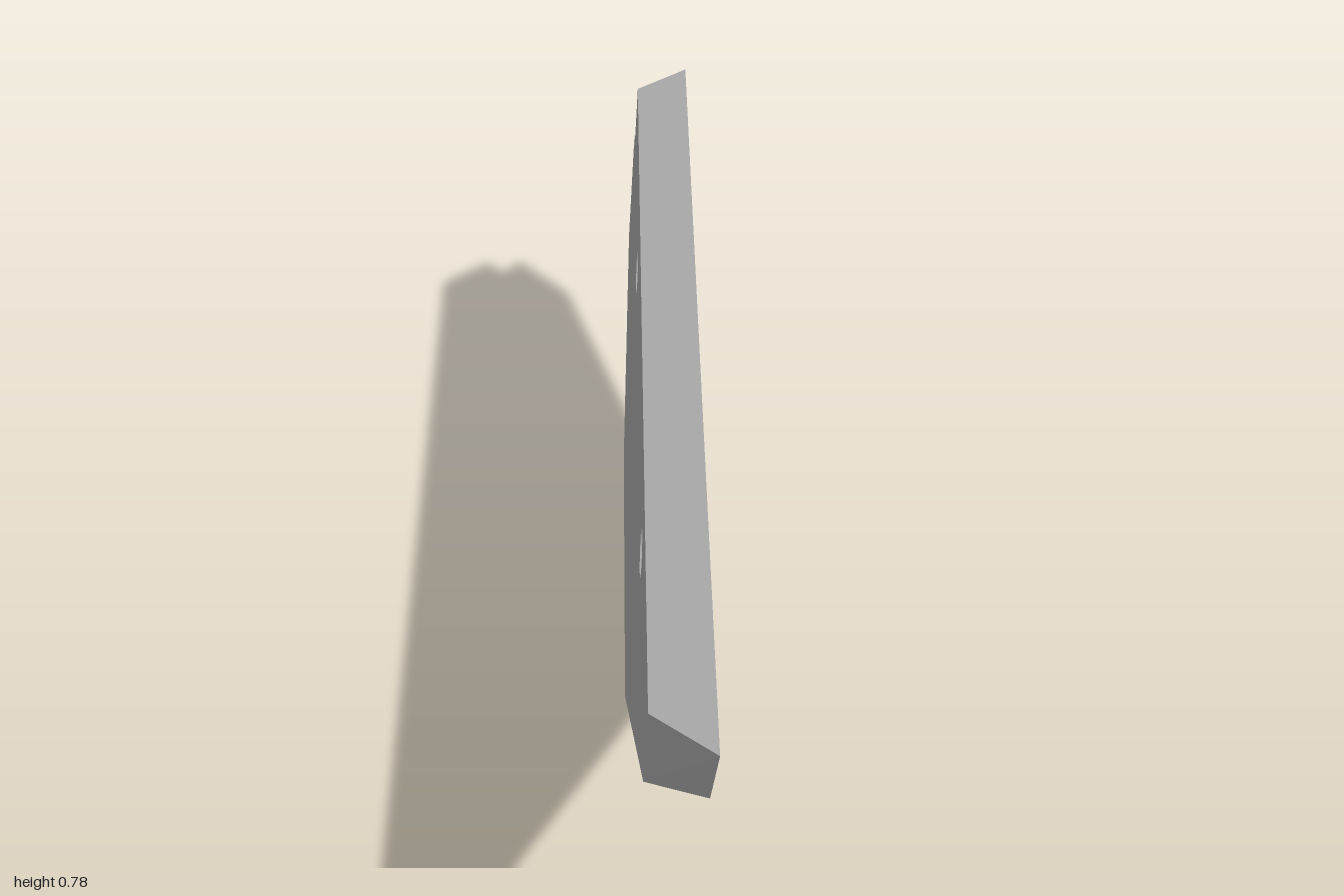
import * as THREE from 'three';
import { mergeVertices } from 'three/addons/utils/BufferGeometryUtils.js';

// The plate stands diagonally: u runs along it, v is up, w runs through it.
const SLOPE = 1.38;
const LEN = Math.hypot(1, SLOPE);

// z offset of each leaning face at height y; the plate is thinner at the bottom
const frontOffset = (y) => -0.138 + 0.231 * y;
const backOffset = (y) => -0.235 + 0.103 * y;

// Corners as (x, y), counter-clockwise, one list for each face
const frontCorners = [[-0.19, 0], [0.32, 0], [0.68, 0.38], [0.73, 0.62],
  [0.67, 0.62], [0.70, 0.782], [-0.692, 0.782], [-0.695, 0.67]];
const backCorners = [[-0.24, 0], [0.27, 0], [0.57, 0.33], [0.58, 0.62],
  [0.545, 0.62], [0.55, 0.782], [-0.725, 0.782], [-0.73, 0.62]];

const toUV = (corners, offset) => corners.map(([x, y]) =>
  new THREE.Vector2(LEN * x - (SLOPE / LEN) * offset(y), y));

const lift = (p, offset) => [p.x, p.y, offset(p.y) / LEN];

function circle(u, v, r, n = 32) {
  return Array.from({ length: n }, (_, i) => {
    const a = (i / n) * Math.PI * 2;
    return new THREE.Vector2(u + r * Math.cos(a), v + r * Math.sin(a));
  });
}

function fromPositions(positions) {
  const g = new THREE.BufferGeometry();
  g.setAttribute('position', new THREE.Float32BufferAttribute(positions, 3));
  return g;
}

// Flat face with holes, laid onto its leaning plane
function faceGeometry(outline, holes, offset, flip) {
  const shape = new THREE.Shape(outline);
  shape.holes = holes.map((h) => new THREE.Path(h));
  const g = new THREE.ShapeGeometry(shape).toNonIndexed();
  const p = g.attributes.position;
  const out = [];
  for (let i = 0; i < p.count; i += 3) {
    for (const k of flip ? [0, 2, 1] : [0, 1, 2]) {
      out.push(...lift(new THREE.Vector2(p.getX(i + k), p.getY(i + k)), offset));
    }
  }
  const face = fromPositions(out);
  face.computeVertexNormals();
  return face;
}

// Band of quads joining a front loop to a back loop
function wallGeometry(front, back, inward) {
  const out = [];
  front.forEach((_, i) => {
    const j = (i + 1) % front.length;
    const a = lift(front[i], frontOffset), d = lift(front[j], frontOffset);
    const b = lift(back[i], backOffset), c = lift(back[j], backOffset);
    const tris = inward ? [a, c, b, a, d, c] : [a, b, c, a, c, d];
    out.push(...tris.flat());
  });
  let g = fromPositions(out);
  if (inward) g = mergeVertices(g); // smooth bore
  g.computeVertexNormals();
  return g;
}

export function createModel() {
  const model = new THREE.Group();
  model.name = 'bladePlate';
  const steel = new THREE.MeshStandardMaterial({ color: 0xa8a8a8 });
  steel.name = 'grey steel';

  const plate = new THREE.Group();
  plate.name = 'plate';
  plate.rotation.y = Math.atan(SLOPE);
  model.add(plate);

  const add = (name, geometry) => {
    const mesh = new THREE.Mesh(geometry, steel);
    mesh.name = name;
    plate.add(mesh);
  };

  const front = toUV(frontCorners, frontOffset);
  const back = toUV(backCorners, backOffset);
  const holes = [-0.521, 0.467].map((u) => circle(u, 0.65, 0.051));

  add('frontFace', faceGeometry(front, holes, frontOffset, false));
  add('backFace', faceGeometry(back, holes, backOffset, true));
  add('edges', wallGeometry(front, back, false));
  holes.forEach((h, i) => add(['rightBoltHole', 'leftBoltHole'][i], wallGeometry(h, h, true)));

  return model;
}
